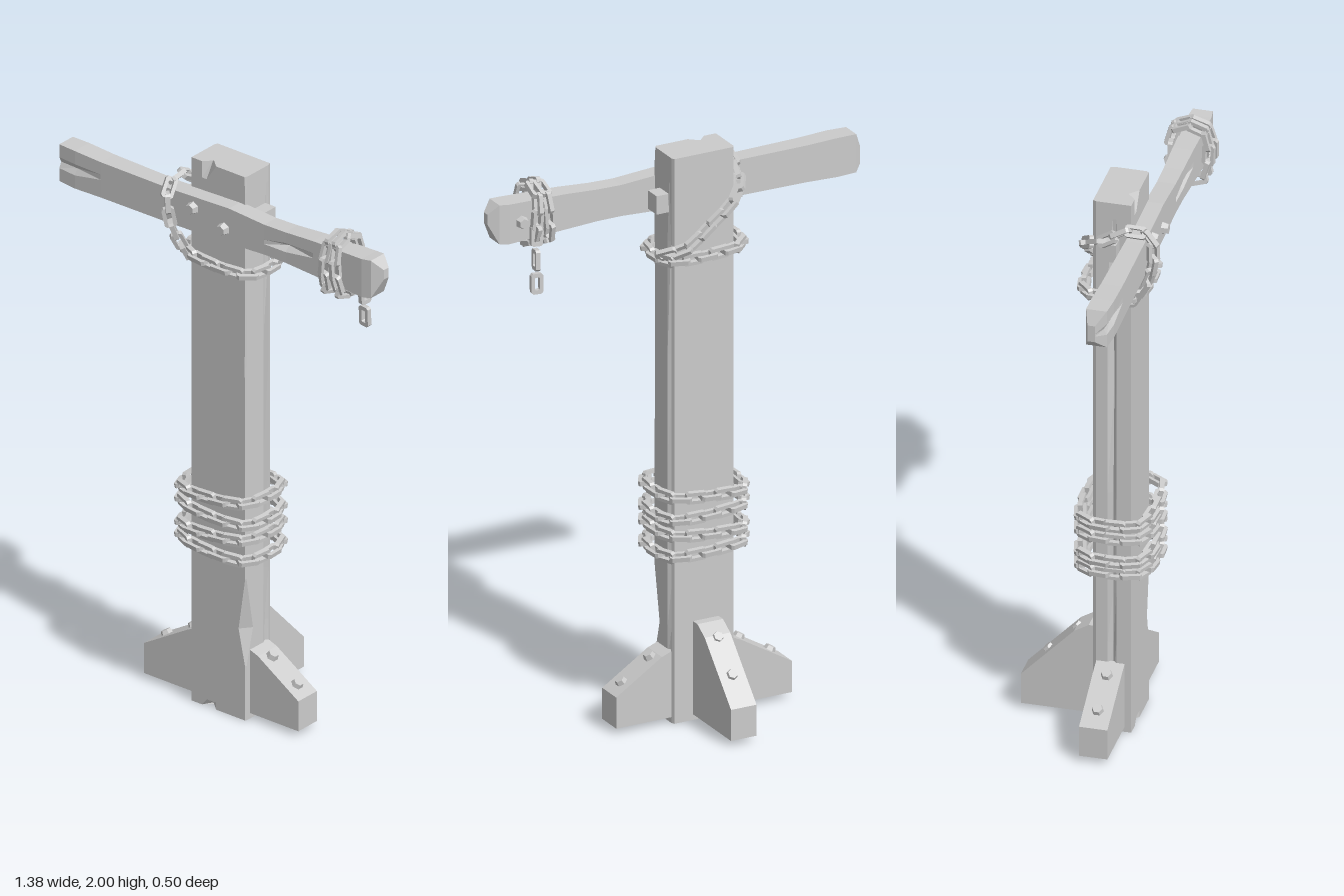
import * as THREE from 'three';

const V = (x, y, z) => new THREE.Vector3(x, y, z);
const material = new THREE.MeshStandardMaterial({ color: 0xcccccc, flatShading: true });

function add(parent, geometry, name) {
  const mesh = new THREE.Mesh(geometry, material);
  mesh.name = name;
  parent.add(mesh);
  return mesh;
}

// Skin a list of equal-length rings and close both ends with fans
function loft(rings) {
  const n = rings[0].length, points = rings.flat(), index = [];
  for (let r = 0; r < rings.length - 1; r++) {
    for (let i = 0; i < n; i++) {
      const a = r * n + i, b = r * n + (i + 1) % n;
      index.push(a, b, b + n, a, b + n, a + n);
    }
  }
  [0, rings.length - 1].forEach((r, end) => {
    const centre = rings[r].reduce((s, p) => s.add(p), V(0, 0, 0)).divideScalar(n);
    const c = points.push(centre) - 1;
    for (let i = 0; i < n; i++) {
      const a = r * n + i, b = r * n + (i + 1) % n;
      index.push(...(end ? [c, a, b] : [c, b, a]));
    }
  });
  // Turn faces outward if the rings ran the other way
  let volume = 0;
  for (let i = 0; i < index.length; i += 3) {
    const [a, b, c] = [0, 1, 2].map(k => points[index[i + k]]);
    volume += a.dot(b.clone().cross(c));
  }
  if (volume < 0) index.reverse();
  const g = new THREE.BufferGeometry().setFromPoints(points);
  g.setIndex(index);
  const flat = g.toNonIndexed();
  flat.computeVertexNormals();
  return flat;
}

// Post section: chip cuts the front corner, notch the front, grooves the sides
function postRing([y, chip, notch, grooveL, grooveR]) {
  return [
    [-0.155, 0.14], [-0.11, 0.14], [-0.09, 0.14 - notch], [-0.05, 0.14],
    [0.075 - chip, 0.14], [0.075, 0.138 - chip * 1.2], [0.075, 0.048],
    [0.075 - grooveL, 0.034], [0.075, 0.022], [0.07, 0.01], [-0.15, 0.01],
    [-0.155, 0.02], [-0.155, 0.06], [-0.155 + grooveR, 0.078], [-0.155, 0.09],
  ].map(([x, z]) => V(x, y, z));
}

// Crossbeam section: dent carves a split into the front face
function beamRing([x, y0, y1, z0, z1, dent]) {
  const at = t => y0 + (y1 - y0) * t;
  return [[at(0), z0], [at(0), z1], [at(0.35), z1], [at(0.5), z1 - dent], [at(0.65), z1],
    [at(1), z1], [at(1), z0]].map(([y, z]) => V(x, y, z));
}

// Angular chain link, long side along x, flat side facing z
function linkGeometry() {
  const outline = (w, h, c) => [[-w, -h + c], [-w + c, -h], [w - c, -h], [w, -h + c],
    [w, h - c], [w - c, h], [-w + c, h], [-w, h - c]].map(p => new THREE.Vector2(...p));
  const shape = new THREE.Shape(outline(0.036, 0.021, 0.007));
  shape.holes.push(new THREE.Path(outline(0.022, 0.009, 0.003).reverse()));
  const g = new THREE.ExtrudeGeometry(shape, { depth: 0.016, bevelEnabled: false });
  return g.translate(0, 0, -0.008);
}
const link = linkGeometry();

// Links along a path, every second one turned a quarter
function chain(parent, name, points, centre, closed = false) {
  const group = new THREE.Group();
  group.name = name;
  const curve = new THREE.CatmullRomCurve3(points, closed, 'centripetal');
  let count = Math.max(2, Math.round(curve.getLength() / 0.051));
  if (closed && count % 2) count++;
  for (let i = 0; i < count; i++) {
    const u = closed ? i / count : i / (count - 1);
    const t = curve.getTangentAt(u), p = curve.getPointAt(u);
    const out = p.clone().sub(centre);
    out.addScaledVector(t, -out.dot(t)).normalize();
    const side = out.clone().cross(t);
    const mesh = add(group, link, 'chainLink');
    mesh.quaternion.setFromRotationMatrix(new THREE.Matrix4().makeBasis(t, side, out));
    mesh.rotateX(i % 2 ? Math.PI / 2 + 0.15 : 0.12);
    mesh.position.copy(p);
  }
  parent.add(group);
}

// Hexagonal bolt head pointing along a direction
function bolt(parent, position, direction) {
  const mesh = add(parent, new THREE.CylinderGeometry(0.017, 0.025, 0.03, 6), 'bolt');
  mesh.position.copy(position);
  mesh.quaternion.setFromUnitVectors(V(0, 1, 0), direction.clone().normalize());
}

// Brace with a sloped top, built outward along +x from its own origin
function brace(parent, name, profile, depth) {
  const shape = new THREE.Shape(profile.map(p => new THREE.Vector2(...p)));
  const g = new THREE.ExtrudeGeometry(shape, { depth, bevelEnabled: false });
  return add(parent, g.translate(0, 0, -depth / 2), name);
}

export function createModel() {
  const model = new THREE.Group();
  model.name = 'chainedPost';

  // Upright post, weathered along its length
  add(model, loft([
    [0, 0.002, 0.035, 0, 0], [0.025, 0.002, 0, 0, 0], [0.2, 0.003, 0, 0.004, 0.006],
    [0.33, 0.03, 0, 0.008, 0.01], [0.52, 0.002, 0, 0.012, 0.006], [0.9, 0.002, 0, 0.014, 0.008],
    [1.3, 0.004, 0, 0.016, 0.02], [1.7, 0.002, 0, 0.006, 0.012], [1.94, 0.002, 0, 0, 0],
    [2, 0.006, 0.035, 0, 0],
  ].map(postRing)), 'post');

  // Crossbeam with split face and broken ends
  add(model, loft([
    [-0.69, 1.79, 1.85, 0.135, 0.16, 0], [-0.67, 1.765, 1.9, 0.125, 0.195, 0.01],
    [-0.6, 1.762, 1.9, 0.125, 0.2, 0.014], [-0.49, 1.765, 1.895, 0.128, 0.2, 0],
    [-0.2, 1.765, 1.892, 0.133, 0.197, 0], [0.05, 1.772, 1.9, 0.133, 0.196, 0],
    [0.2, 1.78, 1.89, 0.133, 0.196, 0], [0.29, 1.78, 1.892, 0.132, 0.197, 0.022],
    [0.41, 1.775, 1.9, 0.13, 0.2, 0], [0.62, 1.765, 1.905, 0.128, 0.205, 0],
    [0.655, 1.77, 1.908, 0.132, 0.2, 0], [0.69, 1.84, 1.875, 0.15, 0.175, 0],
  ].map(beamRing)), 'crossbeam');
  const peg = add(model, new THREE.BoxGeometry(0.32, 0.065, 0.06), 'crossPeg');
  peg.position.set(-0.04, 1.835, 0.07);

  // Foot braces on both sides and the back
  const left = brace(model, 'leftBrace', [[0, 0.02], [0.21, 0.02], [0.21, 0.13], [0.04, 0.24], [0, 0.255]], 0.096);
  left.position.set(0.07, 0, 0.07);
  const right = brace(model, 'rightBrace', [[0, 0.02], [0.225, 0.02], [0.225, 0.13], [0.04, 0.24], [0, 0.26]], 0.096);
  right.position.set(-0.15, 0, 0.07);
  right.rotation.y = Math.PI;
  const back = brace(model, 'backBrace', [[0, 0.02], [0.27, 0.02], [0.27, 0.13], [0.09, 0.32], [0.04, 0.35], [0, 0.35]], 0.095);
  back.position.set(-0.047, 0, 0.02);
  back.rotation.y = Math.PI / 2;

  // Bolt heads
  bolt(model, V(0.13, 0.23, 0.07), V(0.55, 1, 0));
  bolt(model, V(0.235, 0.16, 0.07), V(0.65, 1, 0));
  bolt(model, V(-0.2, 0.233, 0.07), V(-0.55, 1, 0));
  bolt(model, V(-0.315, 0.165, 0.07), V(-0.6, 1, 0));
  bolt(model, V(-0.047, 0.31, -0.068), V(0, 0.9, -0.9));
  bolt(model, V(-0.047, 0.212, -0.165), V(0, 0.9, -0.9));
  bolt(model, V(-0.1, 1.855, 0.203), V(0, 0, 1));
  bolt(model, V(0.03, 1.82, 0.203), V(0, 0, 1));
  bolt(model, V(0.575, 1.835, 0.122), V(0, 0, -1));

  // Rounded-square loop around the post
  const loop = (y, tilt, x0, x1, z0, z1) => {
    const c = 0.035;
    return [[x0 + c, z1], [x1 - c, z1], [x1, z1 - c], [x1, z0 + c], [x1 - c, z0], [x0 + c, z0],
      [x0, z0 + c], [x0, z1 - c]].map(([x, z]) => V(x, y + tilt * x, z));
  };
  [0.61, 0.675, 0.74, 0.81].forEach((y, i) => chain(model, 'lowerChain',
    loop(y, i % 2 ? 0.06 : -0.05, -0.185, 0.105, -0.032, 0.182), V(-0.04, y, 0.075), true));
  chain(model, 'upperChain', loop(1.655, -0.04, -0.18, 0.105, -0.022, 0.16), V(-0.04, 1.655, 0.07), true);

  // Chain climbing the back of the post and over the beam
  chain(model, 'diagonalChain', [V(0.1, 1.67, 0.01), V(0.05, 1.69, -0.025), V(-0.05, 1.76, -0.027),
    V(-0.14, 1.83, -0.015), V(-0.195, 1.88, 0.06), V(-0.195, 1.925, 0.14), V(-0.19, 1.91, 0.21),
    V(-0.185, 1.82, 0.222), V(-0.175, 1.73, 0.195), V(-0.17, 1.66, 0.155)], V(-0.08, 1.79, 0.09));

  // Chain wrapped round the beam end, with a hanging tail
  [0.485, 0.53].forEach((x, i) => chain(model, 'beamChain', [
    [1.935, 0.14], [1.93, 0.2], [1.9, 0.225], [1.79, 0.225], [1.755, 0.2], [1.755, 0.135],
    [1.79, 0.11], [1.9, 0.11]].map(([y, z]) => V(x + (i ? -1 : 1) * (y - 1.84) * 0.08, y, z)),
    V(x, 1.84, 0.167), true));
  chain(model, 'hangingChain', [V(0.535, 1.79, 0.1), V(0.54, 1.7, 0.092), V(0.54, 1.625, 0.09)], V(0.54, 1.7, 0.2));

  return model;
}
